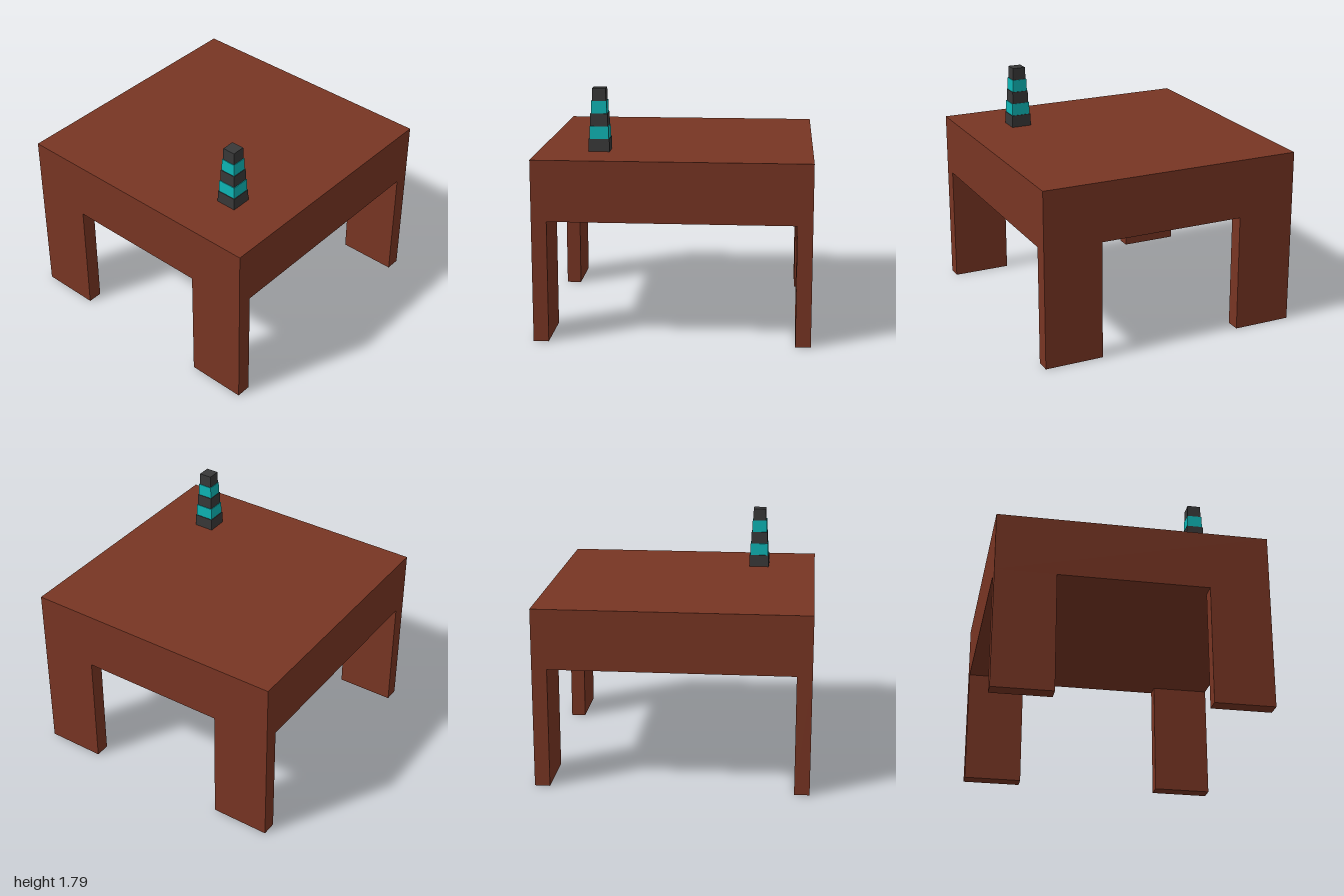
import * as THREE from 'three';

const material = (color) => new THREE.MeshStandardMaterial({ color, flatShading: true });

export function createModel() {
  const group = new THREE.Group();
  const wood = material(0x783523);
  const dark = material(0x383838);
  const teal = material(0x0db4b4);

  const add = (name, geometry, mat, x, y, z) => {
    const mesh = new THREE.Mesh(geometry, mat);
    mesh.name = name;
    mesh.position.set(x, y, z);
    group.add(mesh);
  };

  // Thick table slab
  const topY = 1.333, underY = 0.889;
  add('tableTop', new THREE.BoxGeometry(2, topY - underY, 2), wood, 0, (topY + underY) / 2, 0);

  // Four plank legs, flush with the corners
  const legW = 0.111, legD = 0.444;
  for (const [sx, side] of [[1, 'Left'], [-1, 'Right']]) {
    for (const [sz, end] of [[1, 'front'], [-1, 'back']]) {
      add(`${end}${side}Leg`, new THREE.BoxGeometry(legW, underY, legD), wood,
        sx * (1 - legW / 2), underY / 2, sz * (1 - legD / 2));
    }
  }

  // Stepped tower of banded square blocks, each slightly tapered
  const blockH = 0.0922;
  for (let i = 0; i < 5; i++) {
    const width = 0.155 - i * 0.0133;
    const block = new THREE.CylinderGeometry((width - 0.004) / Math.SQRT2, width / Math.SQRT2, blockH, 4);
    block.rotateY(Math.PI / 4);
    add(`towerBlock${i + 1}`, block, i % 2 ? teal : dark, -0.556, topY + (i + 0.5) * blockH, 0.556);
  }
  return group;
}
